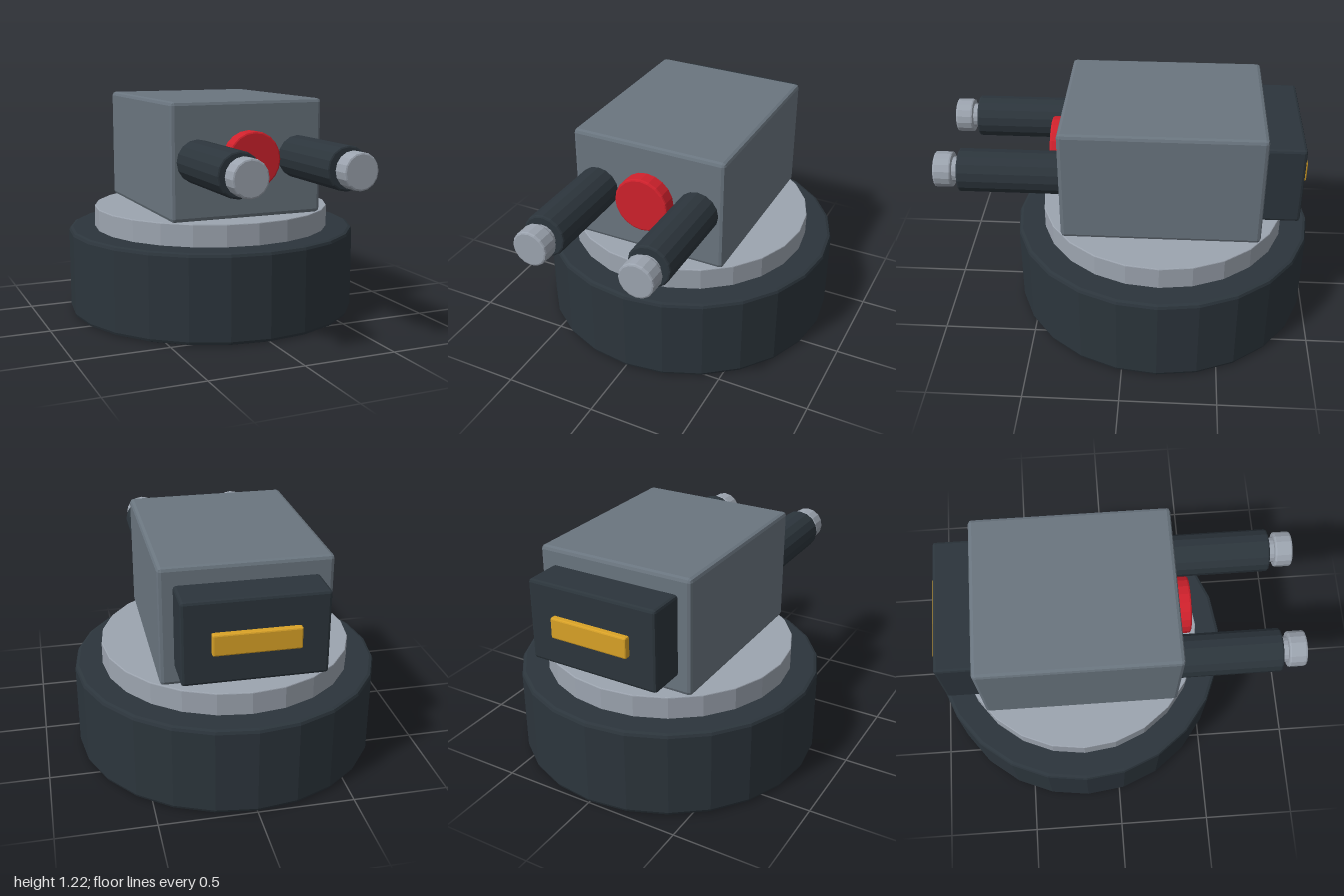
import * as THREE from 'three';
import { RoundedBoxGeometry } from 'three/addons/geometries/RoundedBoxGeometry.js';

const paint = (name, color) => {
  const m = new THREE.MeshStandardMaterial({ color, flatShading: true });
  m.name = name;
  return m;
};

export function createModel() {
  const charcoal = paint('charcoal', 0x2c353c);
  const silver = paint('silver', 0x9ca4af);
  const slate = paint('slate grey', 0x6a757f);
  const red = paint('red', 0xd0212c);
  const amber = paint('amber', 0xd9a227);

  const model = new THREE.Group();
  model.name = 'turret';

  const add = (name, geometry, material, x, y, z, parent = model) => {
    const mesh = new THREE.Mesh(geometry, material);
    mesh.name = name;
    mesh.position.set(x, y, z);
    parent.add(mesh);
    return mesh;
  };

  // Upright drum with softened rims, starting at y = 0
  const drum = (r, h, bevel, sides) => {
    const k = bevel * 0.29;
    const profile = [
      [0, 0], [r - bevel, 0], [r - k, k], [r, bevel],
      [r, h - bevel], [r - k, h - k], [r - bevel, h], [0, h],
    ].map(([a, b]) => new THREE.Vector2(a, b));
    return new THREE.LatheGeometry(profile, sides);
  };
  // The same drum, pointing forward from z = 0
  const forwardDrum = (...args) => drum(...args).rotateX(Math.PI / 2);

  // Round base and turntable
  add('base', drum(0.815, 0.48, 0.02, 24), charcoal, 0, 0, -0.185);
  add('turntable', drum(0.668, 0.13, 0.005, 24), silver, 0, 0.47, -0.185);

  // Housing with rear pack and marker bar
  add('housing', new RoundedBoxGeometry(0.86, 0.62, 1.05, 1, 0.02), slate, 0, 0.911, -0.183);
  add('rearPack', new RoundedBoxGeometry(0.716, 0.43, 0.24, 1, 0.015), charcoal, 0, 0.915, -0.786);
  add('rearMarker', new RoundedBoxGeometry(0.43, 0.11, 0.05, 1, 0.008), amber, 0, 0.915, -0.912);

  // Front sensor
  add('sensor', forwardDrum(0.151, 0.12, 0.01, 20), red, 0, 0.915, 0.3);

  // Twin barrels
  for (const [side, name] of [[1, 'leftBarrel'], [-1, 'rightBarrel']]) {
    const barrel = new THREE.Group();
    barrel.name = name;
    barrel.position.set(side * 0.287, 0.915, 0);
    model.add(barrel);
    add('sleeve', forwardDrum(0.114, 0.57, 0.01, 16), charcoal, 0, 0, 0.303, barrel);
    add('neck', forwardDrum(0.067, 0.07, 0.002, 16), silver, 0, 0, 0.85, barrel);
    add('muzzle', forwardDrum(0.094, 0.095, 0.01, 16), silver, 0, 0, 0.905, barrel);
  }

  return model;
}
